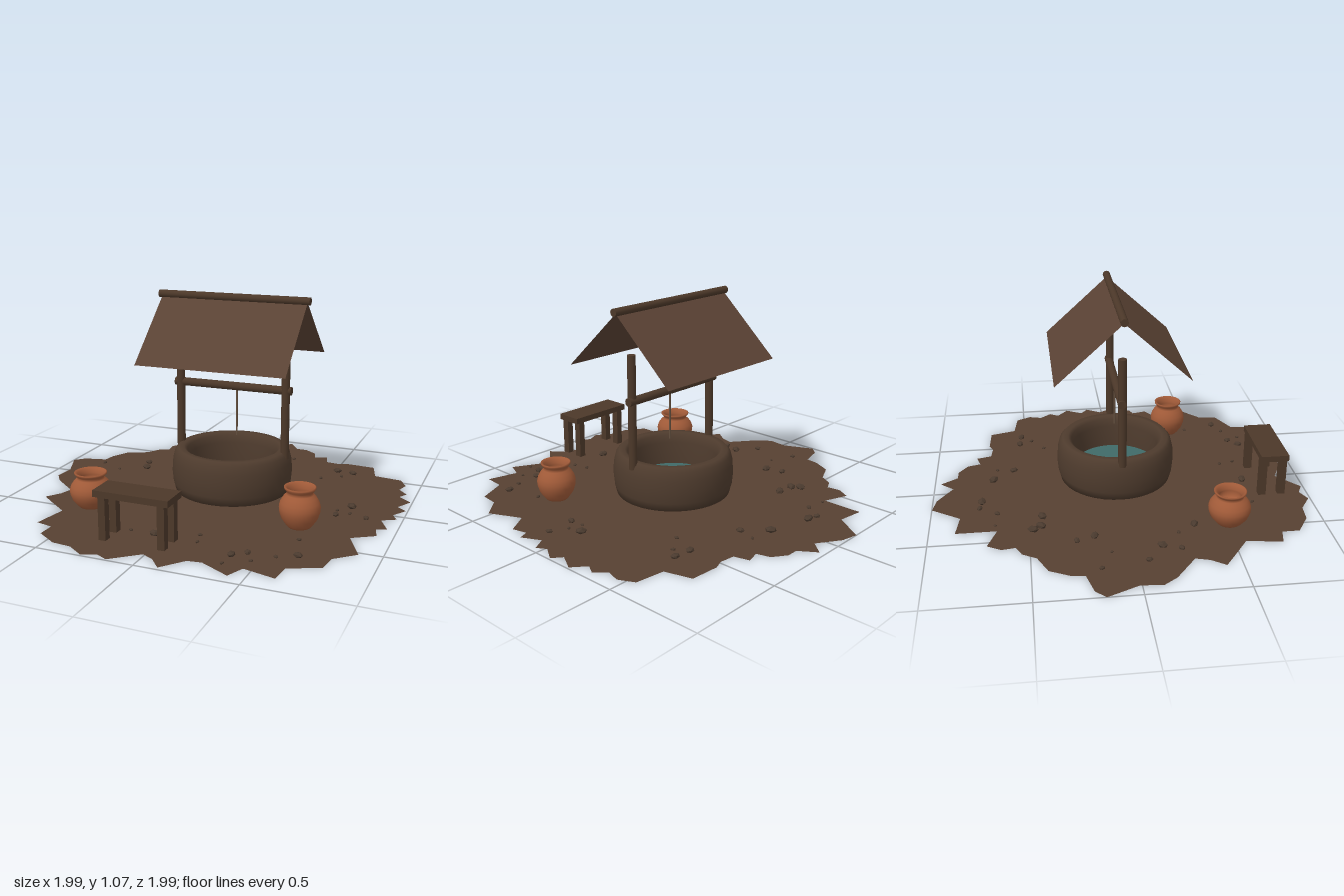
import * as THREE from 'three';

const mat = (name, color, side = THREE.FrontSide) => {
  const m = new THREE.MeshStandardMaterial({ color, side });
  m.name = name;
  return m;
};

export function createModel() {
  const model = new THREE.Group();
  model.name = 'waterWell';
  const earth = mat('earth', 0x574031, THREE.DoubleSide);
  const roofBoard = mat('roofBoard', 0x5a4234, THREE.DoubleSide);
  const wood = mat('wood', 0x4c3829);
  const stone = mat('stone', 0x4e3b2d);
  const pebbleStone = mat('pebbleStone', 0x4a3a2e);
  const clay = mat('clay', 0xa05a38);
  const rope = mat('rope', 0x64503f);
  const water = mat('water', 0x3f6a68);

  const CX = 0.075, CZ = -0.01; // well centre
  const add = (name, geo, material, x = 0, y = 0, z = 0, parent = model) => {
    const mesh = new THREE.Mesh(geo, material);
    mesh.name = name;
    mesh.position.set(x, y, z);
    parent.add(mesh);
    return mesh;
  };
  const lathe = (profile, segments) =>
    new THREE.LatheGeometry(profile.map(([r, y]) => new THREE.Vector2(r, y)), segments);

  // Ragged patch of ground, outline in hundredths (x, z)
  const outline = [
    -16, -100, -7, -98, 5, -90, 11, -97, 17, -88, 23, -88, 30, -83, 32, -76, 39, -78, 41, -70,
    49, -69, 54, -71, 69, -70, 73, -56, 88, -54, 92, -46, 90, -39, 95, -33, 92, -28, 99, -22,
    94, -13, 99, -9, 94, -1, 97, 4, 90, 8, 95, 18, 90, 20, 92, 28, 81, 35, 89, 52,
    79, 61, 78, 71, 63, 78, 62, 89, 46, 85, 42, 94, 27, 86, 20, 87, 11, 98, 5, 91,
    -1, 88, -14, 99, -20, 96, -27, 99, -36, 93, -46, 92, -57, 85, -57, 76, -66, 74, -63, 56,
    -74, 48, -82, 42, -77, 35, -75, 28, -89, 17, -94, 10, -93, -1, -100, -17, -95, -22, -83, -25,
    -82, -32, -77, -42, -66, -47, -62, -54, -56, -57, -57, -64, -53, -71, -40, -66, -40, -87, -26, -85,
  ];
  const edge = [];
  for (let i = 0; i < outline.length; i += 2)
    edge.push(new THREE.Vector2(outline[i] / 100, -outline[i + 1] / 100));
  add('ground', new THREE.ShapeGeometry(new THREE.Shape(edge)).rotateX(-Math.PI / 2), earth);

  // Stone basin and water
  add('wellBasin', lathe([
    [0.225, 0.035], [0.3, 0.035], [0.312, 0.08], [0.318, 0.14], [0.314, 0.2], [0.303, 0.245],
    [0.285, 0.264], [0.255, 0.264], [0.238, 0.25], [0.23, 0.21], [0.225, 0.12], [0.225, 0.035],
  ], 40), stone, CX, 0, CZ);
  add('water', new THREE.CircleGeometry(0.227, 40).rotateX(-Math.PI / 2), water, CX, 0.09, CZ);

  // Posts, crossbar, ridge pole and rope
  for (const side of [-1, 1])
    add(side < 0 ? 'rightPost' : 'leftPost', new THREE.CylinderGeometry(0.022, 0.022, 0.595, 12),
      wood, CX + side * 0.292, 0.5275, CZ + 0.005);
  const pole = (name, radius, length, y) =>
    add(name, new THREE.CylinderGeometry(radius, radius, length, 12).rotateZ(Math.PI / 2), wood, CX, y, CZ);
  pole('crossbar', 0.022, 0.645, 0.59);
  pole('ridgePole', 0.02, 0.82, 1.053);
  add('rope', new THREE.CylinderGeometry(0.005, 0.005, 0.255, 8), rope, 0.1, 0.4525, CZ);

  // Two thin roof panels sloping from the ridge
  const run = 0.34, rise = 0.31;
  for (const side of [1, -1]) {
    const panel = new THREE.PlaneGeometry(0.79, Math.hypot(run, rise));
    panel.rotateX(-Math.atan2(run, rise));
    if (side < 0) panel.rotateY(Math.PI);
    add(side > 0 ? 'frontRoof' : 'backRoof', panel, roofBoard,
      CX, 1.045 - rise / 2, CZ + side * run / 2);
  }

  // Bench
  const bench = new THREE.Group();
  bench.name = 'bench';
  bench.position.set(-0.08, 0, 0.793);
  model.add(bench);
  add('benchSeat', new THREE.BoxGeometry(0.38, 0.032, 0.147), wood, 0, 0.249, 0, bench);
  for (const x of [-0.147, 0.152])
    for (const z of [-0.052, 0.052])
      add('benchLeg', new THREE.BoxGeometry(0.036, 0.21, 0.04), wood, x, 0.13, z, bench);

  // Clay pots, the profile scaled to radius and height
  const potProfile = [
    [0, 0], [0.55, 0], [0.66, 0.06], [0.88, 0.22], [0.98, 0.38], [1, 0.5], [0.94, 0.62],
    [0.8, 0.74], [0.66, 0.81], [0.62, 0.85], [0.68, 0.9], [0.76, 0.95], [0.77, 0.99], [0.72, 1],
    [0.62, 0.96], [0.53, 0.86], [0.55, 0.8], [0.55, 0.6], [0, 0.58],
  ];
  const pot = (name, radius, height, x, z) =>
    add(name, lathe(potProfile.map(([r, y]) => [r * radius, y * height]), 32), clay, x, 0.028, z);
  pot('rightPot', 0.107, 0.182, -0.49, 0.503);
  pot('leftPot', 0.1, 0.202, 0.565, 0.365);

  // Scattered pebbles: x, z, size in hundredths
  const pebbles = [
    -13, -74, 3, -19, -75, 2, 10, -68, 3, 20, -57, 2.4, -36, -67, 1, -25, -66, 1.8, 22, -66, 1.2,
    52, -53, 2.6, 61, -52, 2.5, 56, -46, 1.4, 46, -39, 1.4, -43, -48, 3, -40, -44, 3, -31, -43, 3,
    -55, -27, 2.2, -52, -18, 2.8, -66, -11, 1, -79, -17, 1.6, -75, 6, 2, -64, 14, 2.9,
    -67, 23, 2, -53, 24, 1.5, -47, 33, 2.8, 73, -1, 3, 83, 11, 2, 68, 12, 2.2,
    67, 5, 1.2, 74, 7, 1.2, 60, 48, 1.4, 65, 66, 2.5, 56, 70, 1.4, 43, 71, 2.2,
    37, 76, 2.5, 36, 85, 1.2, 47, 78, 1.2, 15, 60, 1.3, -5, 68, 2.9, -18, 67, 1.3, -28, 68, 1.2,
    17, 68, 1.3,
  ];
  const stones = new THREE.Group();
  stones.name = 'pebbles';
  model.add(stones);
  for (let i = 0; i < pebbles.length; i += 3) {
    const s = pebbles[i + 2] / 100;
    const geo = new THREE.IcosahedronGeometry(1, 0);
    geo.rotateZ(i * 1.3).scale(s, s * 0.55, s * 0.75).rotateY(i * 0.9);
    add('pebble', geo, pebbleStone, pebbles[i] / 100, s * 0.5 + 0.004, pebbles[i + 1] / 100, stones);
  }
  return model;
}
